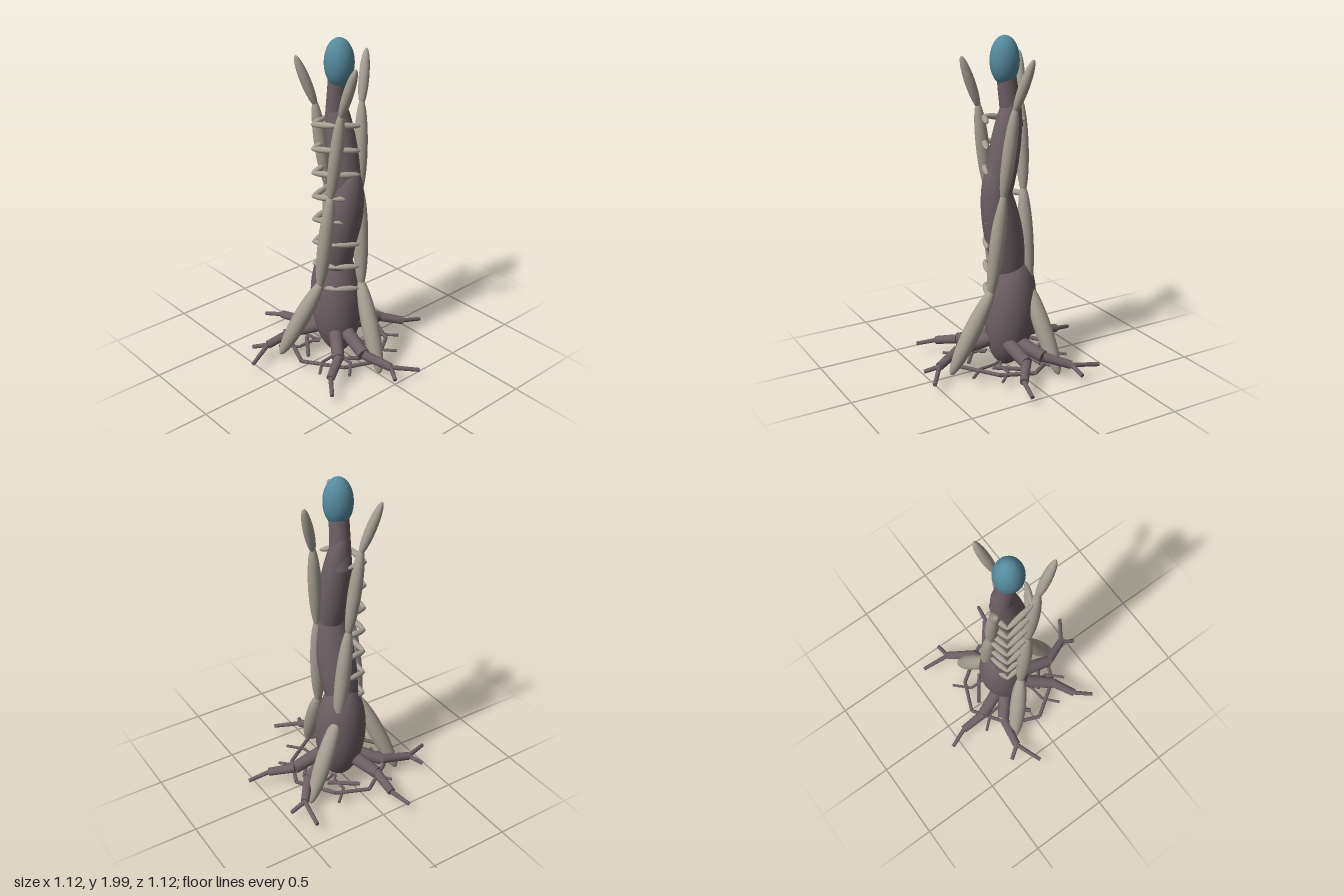
import * as THREE from 'three';

const wood = new THREE.MeshStandardMaterial({ color: 0x6d6064 });
const bone = new THREE.MeshStandardMaterial({ color: 0xa69f93 });
const blue = new THREE.MeshStandardMaterial({ color: 0x558a9d });
const UP = new THREE.Vector3(0, 1, 0);
const V = (p) => new THREE.Vector3(...p);

// Place a unit-height mesh along the line from a to b
function along(mesh, a, b) {
  const dir = b.clone().sub(a);
  mesh.position.copy(a).add(b).multiplyScalar(0.5);
  mesh.quaternion.setFromUnitVectors(UP, dir.clone().normalize());
  return mesh;
}

// Ellipsoid stretched between two points, running past them by a factor
function spindle(name, a, b, r, mat, over = 1) {
  const mesh = new THREE.Mesh(new THREE.SphereGeometry(1, 28, 20), mat);
  mesh.scale.set(r, a.distanceTo(b) * 0.5 * over, r);
  mesh.name = name;
  return along(mesh, a, b);
}

// Straight rod between two points
function rod(name, a, b, r0, r1, sides = 16) {
  const geo = new THREE.CylinderGeometry(r1, r0, a.distanceTo(b), sides);
  const mesh = new THREE.Mesh(geo, wood);
  mesh.name = name;
  return along(mesh, a, b);
}

function group(name, parent) {
  const g = new THREE.Group();
  g.name = name;
  parent.add(g);
  return g;
}

export function createModel() {
  const model = new THREE.Group();
  model.name = 'twistedTower';

  // Swaying trunk of overlapping swellings, neck and head
  const trunk = group('trunk', model);
  [
    [[0, 0.01, 0], [-0.07, 0.72, -0.01], 0.155],
    [[-0.08, 0.42, 0.01], [0.1, 1.26, -0.02], 0.115],
    [[0.09, 0.9, -0.02], [-0.055, 1.7, -0.01], 0.09],
  ].forEach(([a, b, r], i) => trunk.add(spindle('trunkSegment' + (i + 1), V(a), V(b), r, wood)));
  trunk.add(rod('neck', V([-0.045, 1.48, -0.01]), V([-0.005, 1.82, 0]), 0.063, 0.055, 24));
  model.add(spindle('head', V([0, 1.72, 0]), V([0, 2, 0]), 0.085, blue));

  // Three jointed strands twisting up around the trunk: height, radius, turn in degrees
  const joints = [[0.02, 0.37, 0], [0.52, 0.142, -26], [1.1, 0.122, -56], [1.6, 0.152, -82], [1.89, 0.245, -100]];
  const widths = [0.052, 0.045, 0.039, 0.03];
  const overs = [1.05, 1.12, 1.12, 1.06];
  for (let s = 0; s < 3; s++) {
    const strand = group('strand' + (s + 1), model);
    const pts = joints.map(([y, r, deg]) => {
      const t = THREE.MathUtils.degToRad(deg + s * 120);
      return new THREE.Vector3(r * Math.cos(t), y, r * Math.sin(t));
    });
    widths.forEach((w, i) => {
      const name = i === 0 ? 'leg' : i === 3 ? 'tip' : 'shaft';
      const m = spindle(name, pts[i], pts[i + 1], w, bone, overs[i]);
      if (i === 0 || i === 3) {
        // keep the free end in place, extend only into the joint
        const d = pts[i + 1].clone().sub(pts[i]).multiplyScalar((overs[i] - 1) / 2);
        m.position.addScaledVector(d, i === 0 ? 1 : -1);
      }
      strand.add(m);
    });
  }

  // Eight open rings of small ribs across the front
  const ring = [[-0.125, -0.01, -0.01], [-0.095, -0.02, 0.12], [0.08, 0.015, 0.1], [0.135, 0, -0.03]];
  for (let i = 0; i < 8; i++) {
    const rib = group('rib' + (i + 1), model);
    const y = 0.495 + i * 0.147;
    const pts = ring.map(([x, dy, z]) => new THREE.Vector3(x, y + dy, z));
    for (let k = 0; k < 3; k++) rib.add(spindle('ribPiece', pts[k], pts[k + 1], 0.018, bone, 1.1));
  }

  // Six main roots: base, elbow, knuckle, then one or two tips (x, z)
  const roots = [
    [[0.03, -0.08], [0.03, -0.3], [0.125, -0.43], [0.15, -0.56]],
    [[-0.03, -0.08], [-0.1, -0.28], [-0.23, -0.385], [-0.24, -0.485], [-0.41, -0.41]],
    [[-0.1, 0.03], [-0.28, 0.1], [-0.44, 0.1], [-0.56, 0.145]],
    [[-0.08, 0.07], [-0.19, 0.2], [-0.22, 0.39], [-0.3, 0.445], [-0.15, 0.555]],
    [[0.06, 0.08], [0.22, 0.2], [0.3, 0.33], [0.4, 0.405]],
    [[0.1, 0.02], [0.29, 0.06], [0.45, -0.01], [0.55, -0.15], [0.53, 0.03]],
  ];
  roots.forEach((r, i) => {
    const root = group('root' + (i + 1), model);
    const at = (k, y) => new THREE.Vector3(r[k][0], y, r[k][1]);
    const elbow = at(1, 0.14), knuckle = at(2, 0.1);
    root.add(rod('rootBase', at(0, 0.185), elbow, 0.043, 0.037));
    root.add(rod('rootMiddle', elbow, knuckle, 0.029, 0.025));
    for (let k = 3; k < r.length; k++) root.add(rod('rootTip', knuckle, at(k, 0.07), 0.014, 0.012, 12));
  });

  // Low web of thin rootlets, repeated every quarter turn
  const web = group('rootWeb', model);
  const paths = [
    [[-0.32, 0.02], [-0.24, -0.17], [-0.02, -0.32]],
    [[-0.25, 0], [-0.13, -0.16]],
    [[-0.09, -0.08], [-0.13, -0.11], [-0.23, -0.11], [-0.32, -0.2]],
    [[-0.08, -0.09], [-0.1, -0.13], [-0.11, -0.23], [-0.19, -0.32]],
  ];
  for (let q = 0; q < 4; q++) {
    const quarter = group('webQuarter' + (q + 1), web);
    quarter.rotation.y = q * Math.PI / 2;
    paths.forEach((p, j) => {
      const r = j < 2 ? 0.012 : 0.009;
      for (let k = 0; k + 1 < p.length; k++) {
        const [a, b] = [p[k], p[k + 1]].map(([x, z]) => new THREE.Vector3(x, 0.072, z));
        quarter.add(rod('rootlet', a, b, r, r, 8));
      }
    });
  }
  return model;
}
